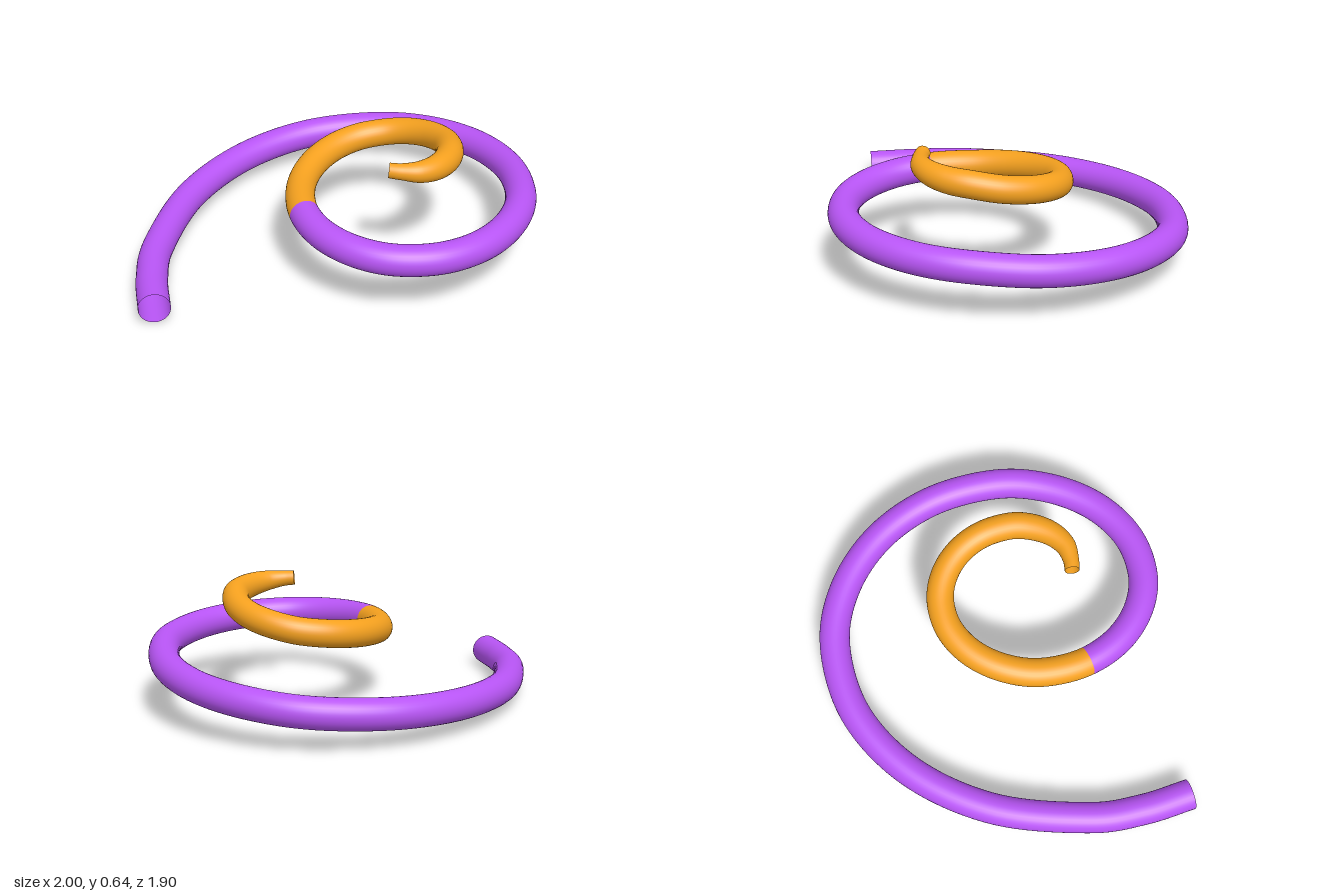
import * as THREE from 'three';
import { ParametricGeometry } from 'three/addons/geometries/ParametricGeometry.js';

// Outermost points of each quarter turn: x, y, z, tube radius
const turns = [
  [-0.92, 0.10, 0.38, 0.08],
  [0.08, 0.195, -0.88, 0.08],
  [0.915, 0.30, 0.03, 0.08],
  [0.32, 0.335, 0.773, 0.078],
  [-0.206, 0.375, 0.19, 0.075],
  [0.19, 0.46, -0.304, 0.071],
  [0.543, 0.563, 0.08, 0.07],
  [0.32, 0.598, 0.379, 0.042],
];
const STEPS = 4;

// Centre line and matching radii, each quarter being an elliptical arc
function buildPath() {
  const points = [], radii = [];
  const add = (x, y, z, r) => {
    points.push(new THREE.Vector3(x, y, z));
    radii.push(new THREE.Vector3(r, 0, 0));
  };
  add(-0.83, 0.083, 0.925, 0.08);
  add(-0.895, 0.088, 0.67, 0.08);
  for (let q = 0; q < turns.length - 1; q++) {
    const a = turns[q], b = turns[q + 1];
    const last = q === turns.length - 2;
    for (let k = 0; k < STEPS + (last ? 1 : 0); k++) {
      const f = k / STEPS;
      const s = Math.sin(f * Math.PI / 2), c = Math.cos(f * Math.PI / 2);
      // even quarters leave a side point, odd ones leave a front or back point
      const wx = q % 2 === 0 ? 1 - c : s;
      const wz = q % 2 === 0 ? s : 1 - c;
      const mix = (i, w) => a[i] + (b[i] - a[i]) * w;
      // the tip narrows mostly at the very end
      add(mix(0, wx), mix(1, f), mix(2, wz), mix(3, last ? f * f : f));
    }
  }
  add(0.255, 0.603, 0.38, 0.038);
  return {
    centre: new THREE.CatmullRomCurve3(points, false, 'catmullrom', 0.5),
    radius: new THREE.CatmullRomCurve3(radii, false, 'catmullrom', 0.5),
  };
}

// Open round tube along the path between two parameters
function tubeSection(name, path, from, to, color, segments) {
  const up = new THREE.Vector3(0, 1, 0);
  const geometry = new ParametricGeometry((u, v, target) => {
    const t = from + (to - from) * u, angle = v * Math.PI * 2;
    const tangent = path.centre.getTangent(t);
    const side = tangent.clone().cross(up).normalize();
    const rise = side.clone().cross(tangent);
    const r = path.radius.getPoint(t).x;
    target.copy(path.centre.getPoint(t))
      .addScaledVector(side, r * Math.cos(angle))
      .addScaledVector(rise, r * Math.sin(angle));
  }, segments, 32);
  const mesh = new THREE.Mesh(geometry, new THREE.MeshStandardMaterial({ color, side: THREE.DoubleSide }));
  mesh.name = name;
  return mesh;
}

export function createModel() {
  const group = new THREE.Group();
  group.name = 'spiralTube';
  const path = buildPath();
  const joint = 0.545;
  group.add(tubeSection('outerCoil', path, 0, joint, 0xb855f5, 160));
  group.add(tubeSection('innerCoil', path, joint, 1, 0xf5a11f, 120));
  return group;
}
